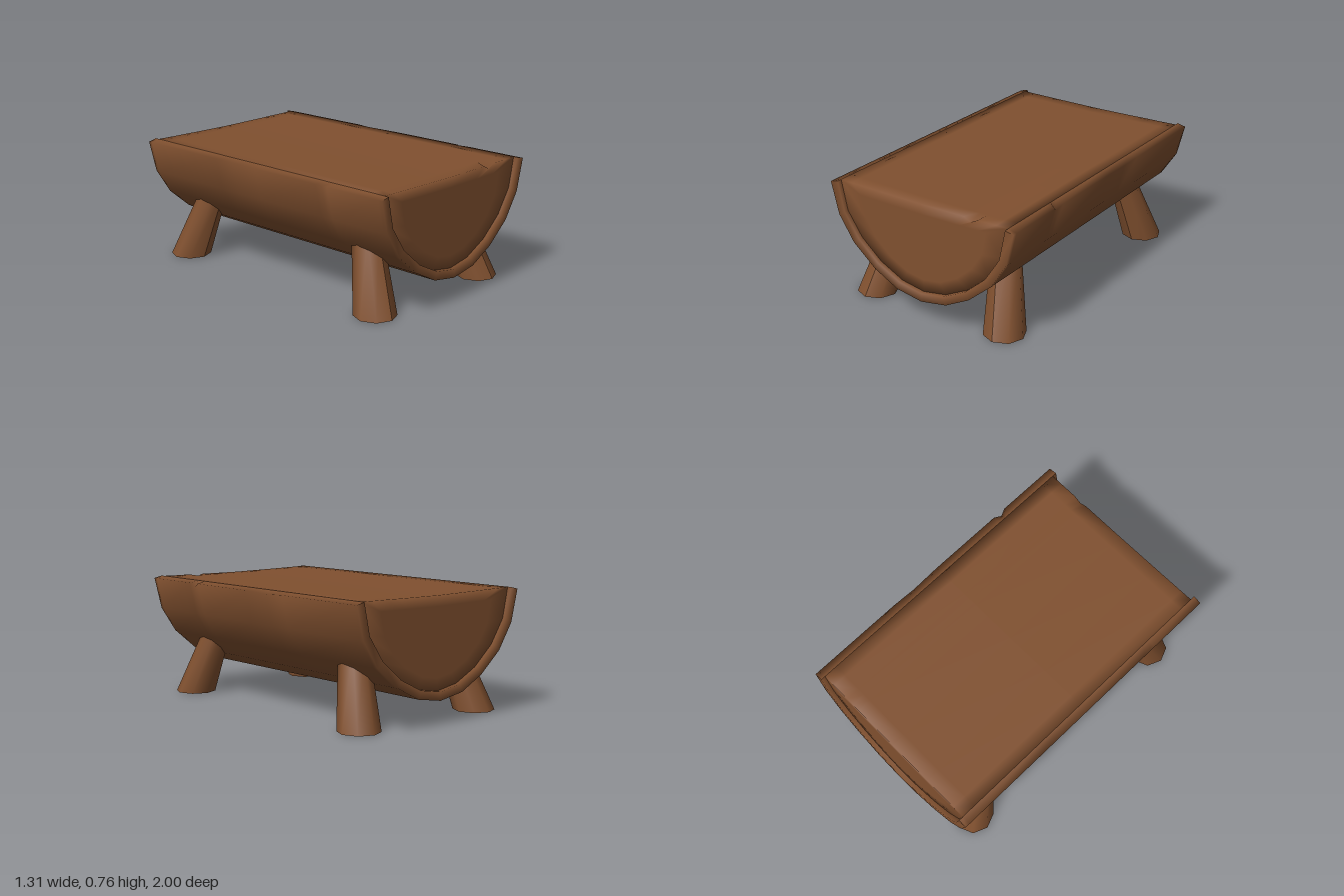
import * as THREE from 'three';

const wood = new THREE.MeshStandardMaterial({ color: 0x80502f });
wood.name = 'brown wood';

// Smooth skin over a list of closed rings of [x, y, z] points.
function loft(rings, name) {
  const n = rings[0].length, index = [];
  for (let i = 0; i < rings.length - 1; i++) {
    for (let j = 0; j < n; j++) {
      const k = (j + 1) % n;
      const a = i * n + j, b = i * n + k, c = b + n, d = a + n;
      index.push(a, b, c, a, c, d);
    }
  }
  const g = new THREE.BufferGeometry();
  g.setAttribute('position', new THREE.Float32BufferAttribute(rings.flat(2), 3));
  g.setIndex(index);
  g.computeVertexNormals();
  const mesh = new THREE.Mesh(g, wood);
  mesh.name = name;
  return mesh;
}

// Mirror a half profile (right rim to bottom centre) into a full left-to-right one.
const mirror = half => [
  ...half.map(([x, y]) => [-x, y]),
  ...half.slice(0, -1).reverse(),
];

const outer = mirror([[0.655, 0.752], [0.605, 0.55], [0.5, 0.39], [0.345, 0.26], [0.18, 0.175], [0, 0.145]]);
const inner = mirror([[0.6, 0.765], [0.56, 0.575], [0.46, 0.425], [0.32, 0.305], [0.16, 0.225], [0, 0.198]]);
const END = 0.97;

// Bark shell: a band with a raised rim at both ends and chips along the left edge.
function makeBark() {
  const zOut = [1, 0.97, 0.59, 0.55, 0.5, 0, -0.2, -0.35, -0.97, -1];
  const zIn = [-1, -END, END, 1];
  const chip = { 0.55: 0.025, '-0.2': 0.007 };
  const section = (o, i, isRim) => [
    ...zOut.map(z => {
      const d = isRim ? chip[z] || 0 : 0;
      return [o[0] - d * 0.6, o[1] - d, z];
    }),
    ...zIn.map(z => [i[0], i[1], z]),
  ];
  const last = outer.length - 1;
  const rings = outer.map((o, u) => section(o, inner[u], u === last));
  // close the two long edges up to the seat
  rings.unshift(section(inner[0], inner[0], false));
  rings.push(section(inner[last], inner[last], false));
  return loft(rings, 'barkShell');
}

// Wooden core: flat seat with softened ends, set slightly behind the rim.
function makeCore() {
  const top = [[0.52, 0.763], [0.4, 0.762], [0.35, 0.761], [0.3, 0.76], [0, 0.757], [-0.3, 0.76], [-0.52, 0.763]];
  const outline = [...inner, ...top];
  const ring = (z, s = 1) => outline.map(([x, y]) => {
    const nick = s === 1 && z === END && x === 0.35 ? 0.025 : 0;
    return [x * s, 0.5 + (y - 0.5) * s - nick, z];
  });
  return loft([
    ring(-END, 0), ring(-END, 0.75), ring(-END), ring(-0.88),
    ring(0), ring(0.88), ring(END), ring(END, 0.75), ring(END, 0),
  ], 'seatCore');
}

// Splayed, tapering leg with a level foot.
function makeLeg(x, z, name) {
  const h = 0.45;
  const g = new THREE.CylinderGeometry(0.09, 0.129, h, 8);
  g.translate(0, h / 2, 0);
  const p = g.attributes.position;
  for (let i = 0; i < p.count; i++) {
    const y = p.getY(i);
    p.setX(i, p.getX(i) + x - Math.sign(x) * 0.2 * y);
    p.setZ(i, p.getZ(i) + z - Math.sign(z) * 0.33 * y);
  }
  g.computeVertexNormals();
  const leg = new THREE.Mesh(g, wood);
  leg.name = name;
  return leg;
}

export function createModel() {
  const group = new THREE.Group();
  group.name = 'logBench';
  group.add(makeBark(), makeCore());
  for (const [x, side] of [[0.465, 'Left'], [-0.49, 'Right']]) {
    group.add(makeLeg(x, 0.815, 'front' + side + 'Leg'));
    group.add(makeLeg(x, -0.81, 'back' + side + 'Leg'));
  }
  return group;
}
